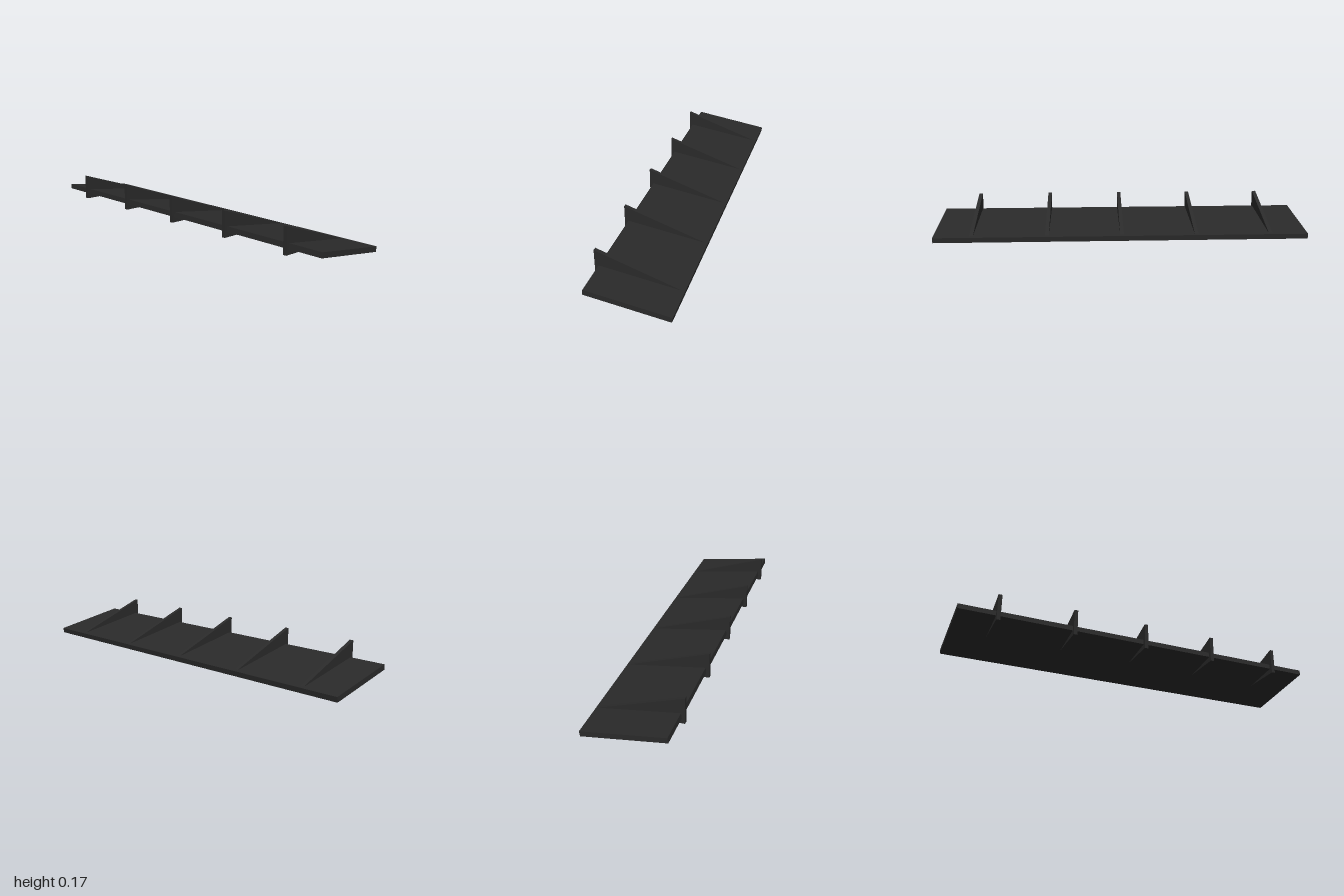
import * as THREE from 'three';

export function createModel() {
  const group = new THREE.Group();
  const charcoal = new THREE.MeshStandardMaterial({ color: 0x2a2a2a });
  charcoal.name = 'charcoal';

  // Flat blade, its front edge tilted up
  const blade = new THREE.Mesh(new THREE.BoxGeometry(2, 0.028, 0.43), charcoal);
  blade.name = 'blade';
  blade.position.set(0, 0.0442, -0.0077);
  blade.rotation.x = THREE.MathUtils.degToRad(-8.1);
  group.add(blade);

  // Upright triangular fins, drawn in the z-y plane and extruded across x
  const finWidth = 0.02;
  const profile = new THREE.Shape([
    new THREE.Vector2(-0.205, 0.032),
    new THREE.Vector2(0.223, 0.032),
    new THREE.Vector2(0.223, 0.173),
  ]);
  const finGeometry = new THREE.ExtrudeGeometry(profile, { depth: finWidth, bevelEnabled: false });
  finGeometry.translate(0, 0, -finWidth / 2);
  finGeometry.rotateY(-Math.PI / 2);

  for (let i = -2; i <= 2; i++) {
    const fin = new THREE.Mesh(finGeometry, charcoal);
    fin.name = `fin${i + 3}`;
    fin.position.x = i * 0.4;
    group.add(fin);
  }
  return group;
}
